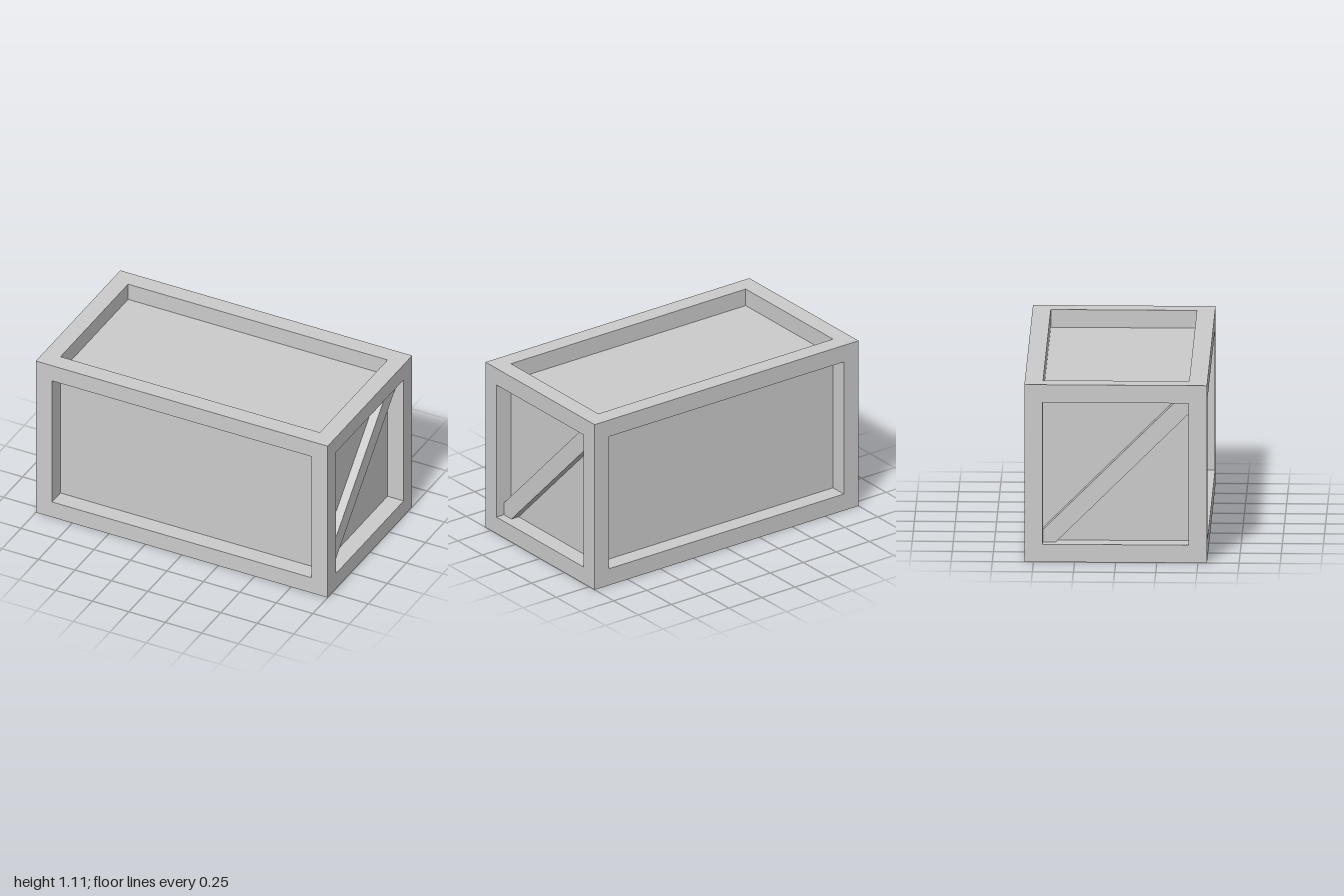
import * as THREE from 'three';
import { mergeGeometries } from 'three/addons/utils/BufferGeometryUtils.js';

const LENGTH = 2, SIZE = 1.11, BEAM = 0.111, BRACE = 0.055;
const material = new THREE.MeshStandardMaterial({ color: 0xcccccc });

function polygon(points, Type = THREE.Shape) {
  return new Type(points.map(([x, y]) => new THREE.Vector2(x, y)));
}

function rectangle(w, h) {
  return [[-w / 2, -h / 2], [w / 2, -h / 2], [w / 2, h / 2], [-w / 2, h / 2]];
}

function addMesh(parent, name, geometry) {
  const mesh = new THREE.Mesh(geometry, material);
  mesh.name = name;
  parent.add(mesh);
  return mesh;
}

// One crate side facing +z: flat frame, four reveal walls and a sunken panel
function createSide(name, w, h) {
  const side = new THREE.Group();
  side.name = name;
  const iw = w - 2 * BEAM, ih = h - 2 * BEAM;

  const rim = polygon(rectangle(w, h));
  rim.holes.push(polygon(rectangle(iw, ih).reverse(), THREE.Path));
  const parts = [new THREE.ShapeGeometry(rim)];
  for (const s of [-1, 1]) {
    parts.push(
      new THREE.PlaneGeometry(BEAM, ih).rotateY(-s * Math.PI / 2).translate(s * iw / 2, 0, -BEAM / 2),
      new THREE.PlaneGeometry(iw, BEAM).rotateX(s * Math.PI / 2).translate(0, s * ih / 2, -BEAM / 2)
    );
  }
  addMesh(side, 'frame', mergeGeometries(parts));
  addMesh(side, 'panel', new THREE.PlaneGeometry(iw, ih)).position.z = -BEAM;
  return side;
}

// Diagonal plank with its ends cut to fit the corners of the opening
function createBrace() {
  const a = SIZE / 2 - BEAM, c = a - 0.078;
  const outline = polygon([[-a, -a], [-c, -a], [a, c], [a, a], [c, a], [-a, -c]]);
  const geometry = new THREE.ExtrudeGeometry(outline, { depth: BRACE, bevelEnabled: false });
  return geometry.translate(0, 0, -BEAM);
}

export function createModel() {
  const crate = new THREE.Group();
  crate.name = 'crate';
  const body = new THREE.Group();
  body.name = 'body';
  body.position.y = SIZE / 2;
  crate.add(body);

  // Long sides, top and bottom
  ['front', 'top', 'back', 'bottom'].forEach((name, i) => {
    const side = createSide(name + 'Side', LENGTH, SIZE);
    side.rotation.x = -i * Math.PI / 2;
    side.position.set(0, 0, SIZE / 2).applyEuler(side.rotation);
    body.add(side);
  });

  // Square ends with diagonal braces
  for (const s of [-1, 1]) {
    const end = createSide(s > 0 ? 'leftEnd' : 'rightEnd', SIZE, SIZE);
    end.rotation.y = s * Math.PI / 2;
    end.position.x = s * LENGTH / 2;
    addMesh(end, 'diagonalBrace', createBrace());
    body.add(end);
  }
  return crate;
}
